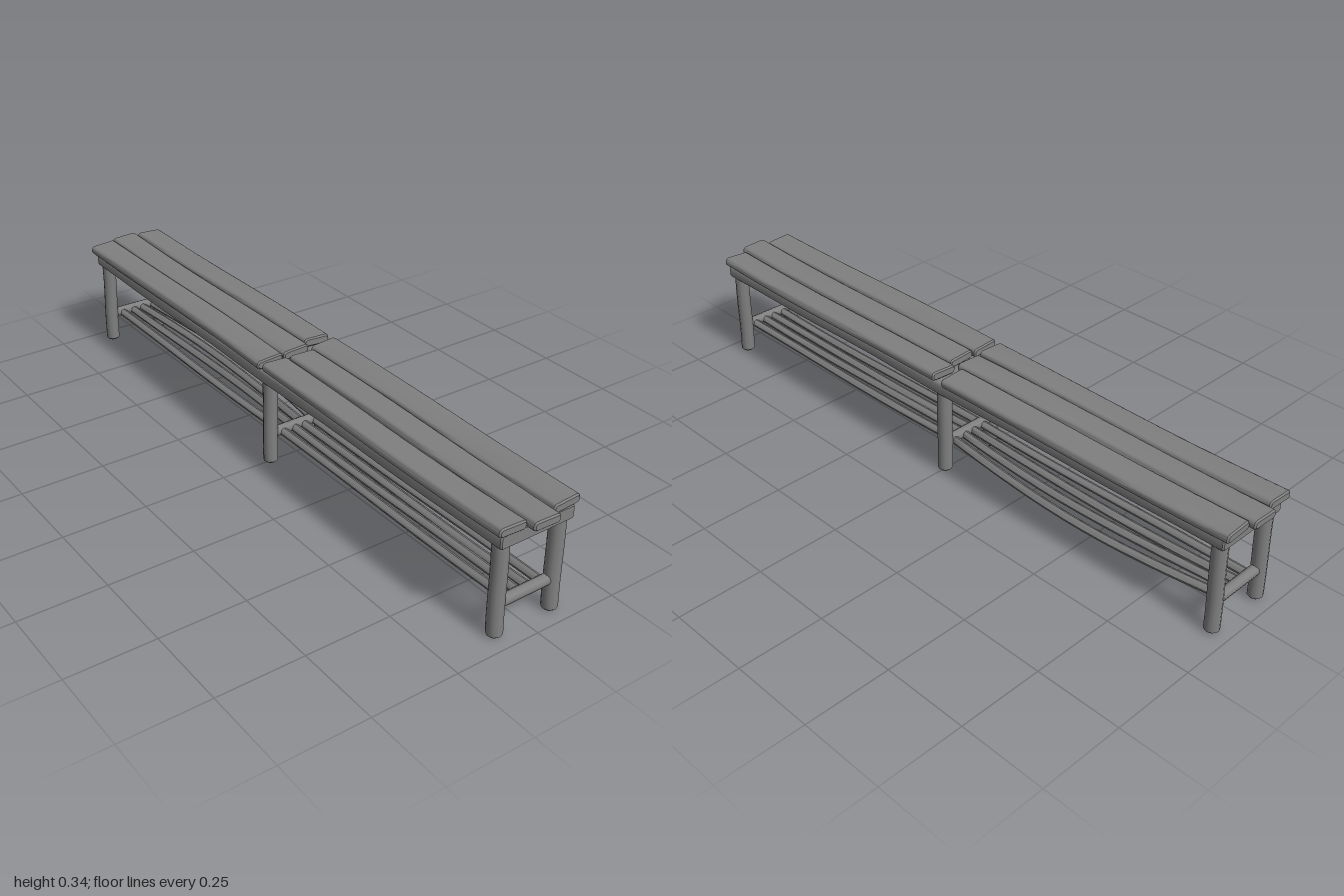
import * as THREE from 'three';
import { toCreasedNormals } from 'three/addons/utils/BufferGeometryUtils.js';

const material = new THREE.MeshStandardMaterial({ color: 0x808080 });

// Bar of worn timber along x: rounded section, bevelled ends, optional bend
// bend(t) with t in 0..1 along the length returns [dy, dz]
function barGeometry(length, height, depth, corner, bend) {
  const b = Math.min(0.006, corner * 0.6);
  const w = depth / 2 - b, h = height / 2 - b, c = corner;
  const shape = new THREE.Shape([
    [w, -h + c], [w, h - c], [w - c * 0.3, h - c * 0.3], [w - c, h],
    [-w + c, h], [-w + c * 0.3, h - c * 0.3], [-w, h - c], [-w, -h + c],
    [-w + c * 0.3, -h + c * 0.3], [-w + c, -h], [w - c, -h], [w - c * 0.3, -h + c * 0.3],
  ].map(([x, y]) => new THREE.Vector2(x, y)));
  const geo = new THREE.ExtrudeGeometry(shape, {
    depth: length - 2 * b, steps: 14, bevelEnabled: true,
    bevelSize: b, bevelThickness: b, bevelSegments: 1,
  });
  geo.translate(0, 0, b - length / 2).rotateY(Math.PI / 2);
  if (bend) {
    const p = geo.attributes.position;
    for (let i = 0; i < p.count; i++) {
      const [dy, dz] = bend(p.getX(i) / length + 0.5);
      p.setY(i, p.getY(i) + dy);
      p.setZ(i, p.getZ(i) + dz);
    }
  }
  return toCreasedNormals(geo, 0.77);
}

function addMesh(parent, name, geo, x, y, z) {
  const mesh = new THREE.Mesh(geo, material);
  mesh.name = name;
  mesh.position.set(x, y, z);
  parent.add(mesh);
  return mesh;
}

const arch = (t) => Math.sin(Math.PI * t);
const wave = (t) => Math.sin(2 * Math.PI * t);

export function createModel() {
  const bench = new THREE.Group();
  bench.name = 'bench';

  // Seat planks: x from, x to, z centre, bow in z, skew in z, roll
  const planks = [
    ['backPlankRight', -0.985, -0.03, -0.089, -0.002, -0.006, -0.06],
    ['backPlankLeft', 0.0, 0.97, -0.088, -0.003, 0.006, 0.07],
    ['middlePlankRight', -1.0, -0.005, -0.003, 0.003, -0.003, 0.05],
    ['middlePlankLeft', 0.02, 1.0, 0.001, -0.004, 0.009, -0.04],
    ['frontPlankRight', -0.98, 0.0, 0.087, -0.006, 0.0, 0.06],
    ['frontPlankLeft', 0.015, 0.975, 0.086, 0.003, 0.003, -0.05],
  ];
  planks.forEach(([name, x0, x1, z, bow, skew, roll], i) => {
    const s = i % 2 ? 1 : -1;
    const geo = barGeometry(x1 - x0, 0.026, 0.085, 0.0068, (t) => [
      0.002 * wave(t) * s - 0.002 * arch(t),
      bow * arch(t) + skew * (t - 0.5),
    ]);
    addMesh(bench, name, geo, (x0 + x1) / 2, 0.319, z).rotation.x = roll;
  });

  // Solid bearer slab under the planks, slightly wavy
  addMesh(bench, 'seatSlab', barGeometry(1.935, 0.041, 0.232, 0.006, (t) => [
    -0.006 * Math.sin(3 * Math.PI * t) ** 2 * arch(t), 0,
  ]), 0, 0.286, 0);

  // Three pairs of round legs with a cross rail between each pair
  [-0.945, 0, 0.942].forEach((x, i) => {
    for (const side of [-1, 1]) {
      const geo = barGeometry(0.272, 0.041, 0.042, 0.0135, (t) => [
        (i - 1) * 0.005 * (t - 0.5), 0.001 * wave(t),
      ]);
      geo.rotateZ(Math.PI / 2);
      addMesh(bench, side > 0 ? 'frontLeg' : 'backLeg', geo, x, 0.136, side * 0.09);
    }
    addMesh(bench, 'crossRail', barGeometry(0.16, 0.03, 0.03, 0.009).rotateY(Math.PI / 2), x, 0.092, 0);
  });

  // Lower shelf: thin rods in two halves meeting at the middle rail,
  // fanning out towards the back on the right half
  for (const half of [-1, 1]) {
    [-0.059, -0.02, 0.013, 0.052].forEach((z, i) => {
      const bow = half > 0 ? -0.002 : -0.012 * (3 - i);
      const geo = barGeometry(0.95, 0.024, 0.024, 0.0075, (t) => [
        -0.004 * arch(t) + 0.002 * wave(t) * (i % 2 ? 1 : -1),
        bow * arch(t),
      ]);
      addMesh(bench, 'shelfRod', geo, half * 0.47, 0.089, z);
    });
  }
  return bench;
}
